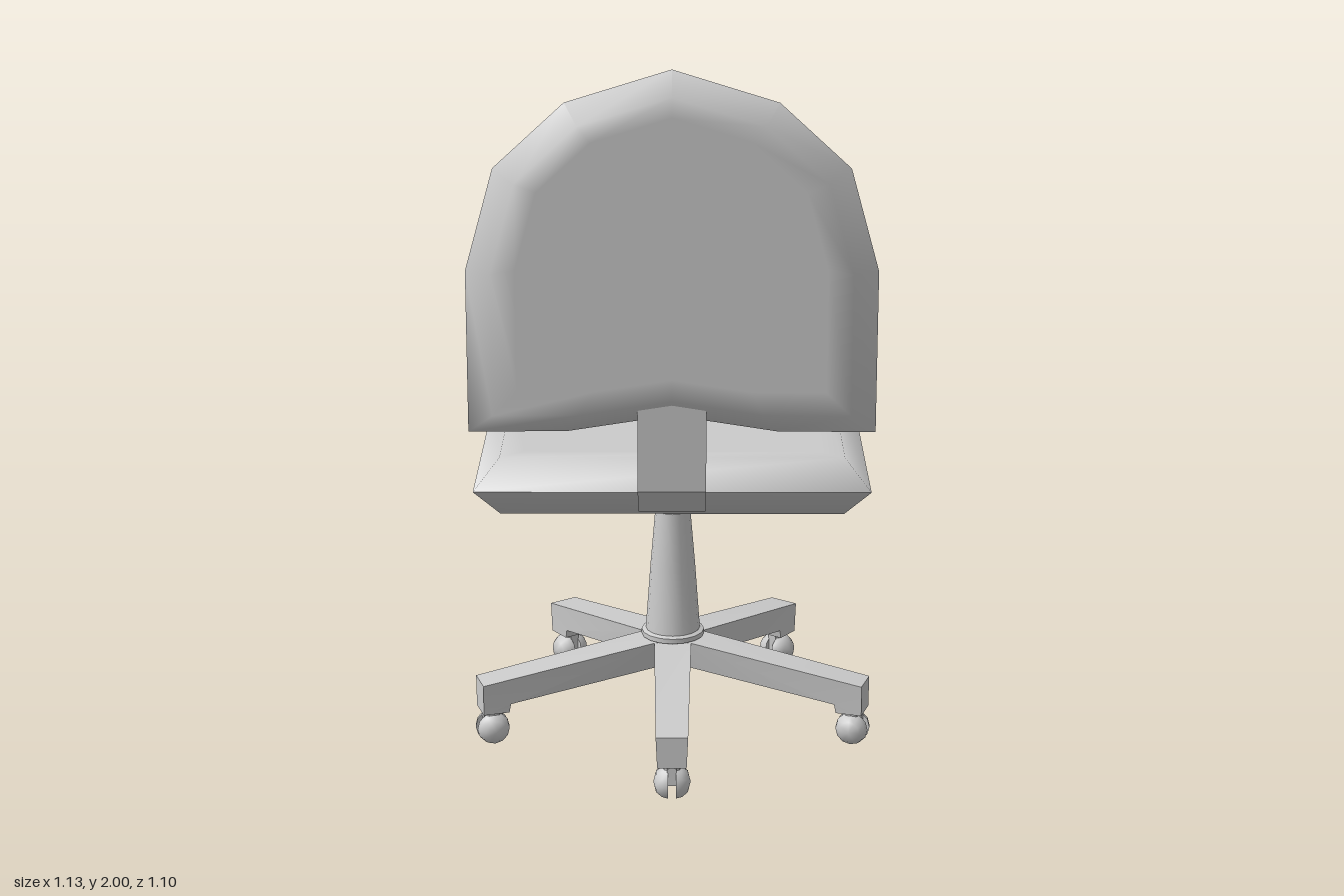
import * as THREE from 'three';
import { toCreasedNormals } from 'three/addons/utils/BufferGeometryUtils.js';

const material = new THREE.MeshStandardMaterial({ color: 0xcccccc, roughness: 0.8 });
const CX = 0.005;   // centre line of the chair
const CZ = -0.055;  // swivel axis

function part(name, geometry, parent, crease = 0.6) {
  const mesh = new THREE.Mesh(toCreasedNormals(geometry, crease), material);
  mesh.name = name;
  parent.add(mesh);
  return mesh;
}

// Cushion around the origin: the outline (counter-clockwise in xy) is widest
// at mid thickness and bevels in to a flat face on either side.
function cushion(outline, half) {
  const rings = [[0.75, -half], [0.87, -half], [1, 0], [0.87, half], [0.75, half]];
  const n = outline.length;
  const pos = [];
  const index = [];
  for (const [s, z] of rings) for (const [x, y] of outline) pos.push(x * s, y * s, z);
  const back = pos.length / 3;
  pos.push(0, 0, -half, 0, 0, half);
  for (let i = 0; i < n; i++) {
    const j = (i + 1) % n;
    for (let r = 0; r < rings.length - 1; r++) {
      const a = r * n, b = a + n;
      index.push(a + i, a + j, b + j, a + i, b + j, b + i);
    }
    const top = (rings.length - 1) * n;
    index.push(back, j, i, back + 1, top + i, top + j);
  }
  const g = new THREE.BufferGeometry();
  g.setAttribute('position', new THREE.Float32BufferAttribute(pos, 3));
  g.setIndex(index);
  return g;
}

// Side profile extruded to a width, centred on z = 0
function strip(points, width) {
  const shape = new THREE.Shape(points.map(([x, y]) => new THREE.Vector2(x, y)));
  return new THREE.ExtrudeGeometry(shape, { depth: width, bevelEnabled: false })
    .translate(0, 0, -width / 2);
}

function lathe(points, sides) {
  return new THREE.LatheGeometry(points.map(([r, y]) => new THREE.Vector2(r, y)), sides);
}

// One spoke of the base, running along +x, with its twin-wheel caster
function createLeg() {
  const leg = new THREE.Group();
  leg.name = 'baseLeg';

  const arm = strip([[0, 0.18], [0.06, 0.185], [0.495, 0.125], [0.5, 0.1], [0.575, 0.1],
    [0.575, 0.19], [0.04, 0.268], [0, 0.268]], 1);
  const p = arm.attributes.position;
  for (let i = 0; i < p.count; i++) {
    const r = p.getX(i) / 0.575;
    const upper = p.getY(i) > 0.188;
    p.setZ(i, p.getZ(i) * (upper ? 0.108 - 0.02 * r : 0.085 - 0.005 * r));
  }
  part('legArm', arm, leg);

  const x = 0.54;
  part('casterStem', new THREE.CylinderGeometry(0.026, 0.026, 0.05, 10).translate(x, 0.1, 0), leg);
  part('casterFork', new THREE.BoxGeometry(0.055, 0.05, 0.026).translate(x, 0.07, 0), leg);
  for (const side of [1, -1]) {
    const wheel = lathe([[0, 0.011], [0.047, 0.011], [0.043, 0.027], [0.03, 0.043], [0, 0.051]], 12);
    wheel.rotateX(side * Math.PI / 2).translate(x, 0.047, 0);
    part('casterWheel', wheel, leg, 1);
  }
  return leg;
}

export function createModel() {
  const chair = new THREE.Group();
  chair.name = 'swivelChair';

  // Five-spoke base
  const base = new THREE.Group();
  base.name = 'base';
  base.position.set(CX, 0, CZ);
  chair.add(base);
  for (let i = 0; i < 5; i++) {
    const leg = createLeg();
    leg.rotation.y = -Math.PI / 2 + i * Math.PI * 2 / 5;
    base.add(leg);
  }

  // Hub, collar and tapering column in one turned profile
  part('column', lathe([[0, 0.18], [0.07, 0.18], [0.078, 0.265], [0.09, 0.268], [0.09, 0.282],
    [0.078, 0.287], [0.064, 0.48], [0.05, 0.645], [0.047, 0.647], [0.041, 0.74], [0, 0.74]], 16), base);
  part('seatPlate', new THREE.BoxGeometry(0.17, 0.03, 0.34).translate(0, 0.75, 0), base);

  // Seat
  const seat = cushion([[-0.535, -0.435], [0.535, -0.435], [0.535, 0.435], [-0.535, 0.435]], 0.08);
  seat.rotateX(-Math.PI / 2).translate(CX, 0.84, -0.06);
  part('seat', seat, chair, 1.2);

  // Backrest: half outline mirrored into an arch with a notched lower edge
  const right = [[0.275, -0.518], [0.535, -0.52], [0.535, -0.085], [0.46, 0.185], [0.275, 0.355]];
  const left = right.map(([x, y]) => [-x, y]).reverse();
  const back = cushion([[0, -0.475], ...right, [0, 0.44], ...left], 0.08);
  part('backrest', back.translate(CX, 1.56, 0.47), chair, 1.2);

  // Bent strap joining seat and backrest
  const strap = strip([[0.2, 0.795], [0.4, 0.795], [0.52, 0.89], [0.528, 1.16],
    [0.45, 1.16], [0.445, 0.925], [0.395, 0.875], [0.2, 0.875]], 0.18);
  part('backStrap', strap.rotateY(-Math.PI / 2).translate(CX, 0, 0), chair);

  return chair;
}
